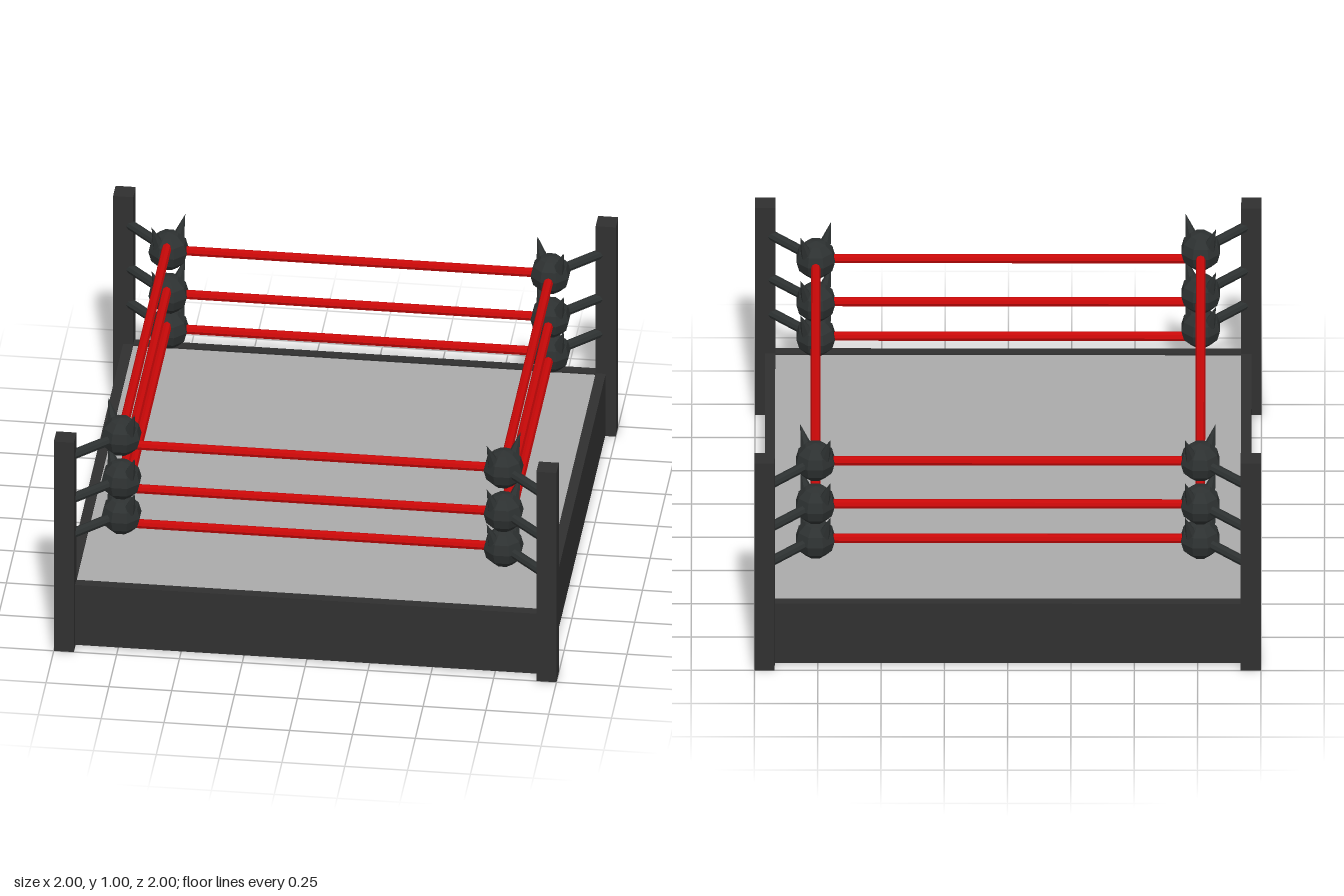
import * as THREE from 'three';

export function createModel() {
  const group = new THREE.Group();
  const mat = (name, color) => {
    const m = new THREE.MeshStandardMaterial({ color, flatShading: true });
    m.name = name;
    return m;
  };
  const frameMat = mat('charcoal frame', 0x303030);
  const padMat = mat('dark iron', 0x2d3131);
  const canvasMat = mat('grey canvas', 0xaaaaaa);
  const ropeMat = mat('red rope', 0xc80808);

  const add = (name, geometry, material, x, y, z, parent = group) => {
    const mesh = new THREE.Mesh(geometry, material);
    mesh.name = name;
    mesh.position.set(x, y, z);
    parent.add(mesh);
    return mesh;
  };
  // Straight round bar between two points
  const bar = (name, a, b, radius, sides, material, parent = group) => {
    const dir = b.clone().sub(a);
    const mesh = add(name, new THREE.CylinderGeometry(radius, radius, dir.length(), sides), material, 0, 0, 0, parent);
    mesh.position.copy(a).add(b).multiplyScalar(0.5);
    mesh.quaternion.setFromUnitVectors(new THREE.Vector3(0, 1, 0), dir.normalize());
    return mesh;
  };

  // Platform: solid base, raised rim and inset canvas
  add('base', new THREE.BoxGeometry(1.92, 0.26, 1.92), frameMat, 0, 0.14, 0);
  add('canvas', new THREE.BoxGeometry(1.84, 0.008, 1.84), canvasMat, 0, 0.274, 0);
  for (const s of [-1, 1]) {
    add('rim', new THREE.BoxGeometry(1.92, 0.015, 0.04), frameMat, 0, 0.2775, s * 0.94);
    add('rim', new THREE.BoxGeometry(0.04, 0.015, 1.84), frameMat, s * 0.94, 0.2775, 0);
  }

  // Horned ball that ties the ropes together; local +x points away from the centre
  const ballGeo = new THREE.SphereGeometry(0.082, 8, 6);
  ballGeo.rotateY(Math.PI / 8);
  const hornGeo = new THREE.ConeGeometry(0.027, 0.105, 6);
  const makeBall = () => {
    const ball = new THREE.Group();
    ball.name = 'hornedBall';
    add('ball', ballGeo, padMat, 0, 0, 0, ball);
    for (const s of [-1, 1]) {
      const horn = add('horn', hornGeo, padMat, 0, 0.083, s * 0.066, ball);
      horn.rotation.x = s * 0.36;
    }
    return ball;
  };

  // Rope heights; the front left-hand corner of the ring sits a little higher
  const levels = [0.465, 0.625, 0.825];
  const lift = 0.04;
  const r = 0.76;

  // Corner posts with struts and balls
  for (const sx of [-1, 1]) {
    for (const sz of [-1, 1]) {
      add('post', new THREE.BoxGeometry(0.08, 0.96, 0.08), frameMat, sx * 0.96, 0.48, sz * 0.96);
      const raise = sx < 0 && sz > 0 ? lift : 0;
      for (const level of levels) {
        const y = level + raise;
        bar('strut', new THREE.Vector3(sx * r, y, sz * r), new THREE.Vector3(sx * 0.95, y, sz * 0.95),
          0.02, 8, padMat);
        const ball = makeBall();
        ball.position.set(sx * r, y, sz * r);
        ball.rotation.y = Math.atan2(-sz, sx);
        group.add(ball);
      }
    }
  }

  // Ropes on all four sides
  for (const y of levels) {
    for (const s of [-1, 1]) {
      bar('rope', new THREE.Vector3(-r, y, s * r), new THREE.Vector3(r, y, s * r), 0.019, 8, ropeMat);
      const ySide = s < 0 ? y + lift : y;
      bar('rope', new THREE.Vector3(s * r, ySide, -r), new THREE.Vector3(s * r, ySide, r), 0.019, 8, ropeMat);
    }
  }
  return group;
}
